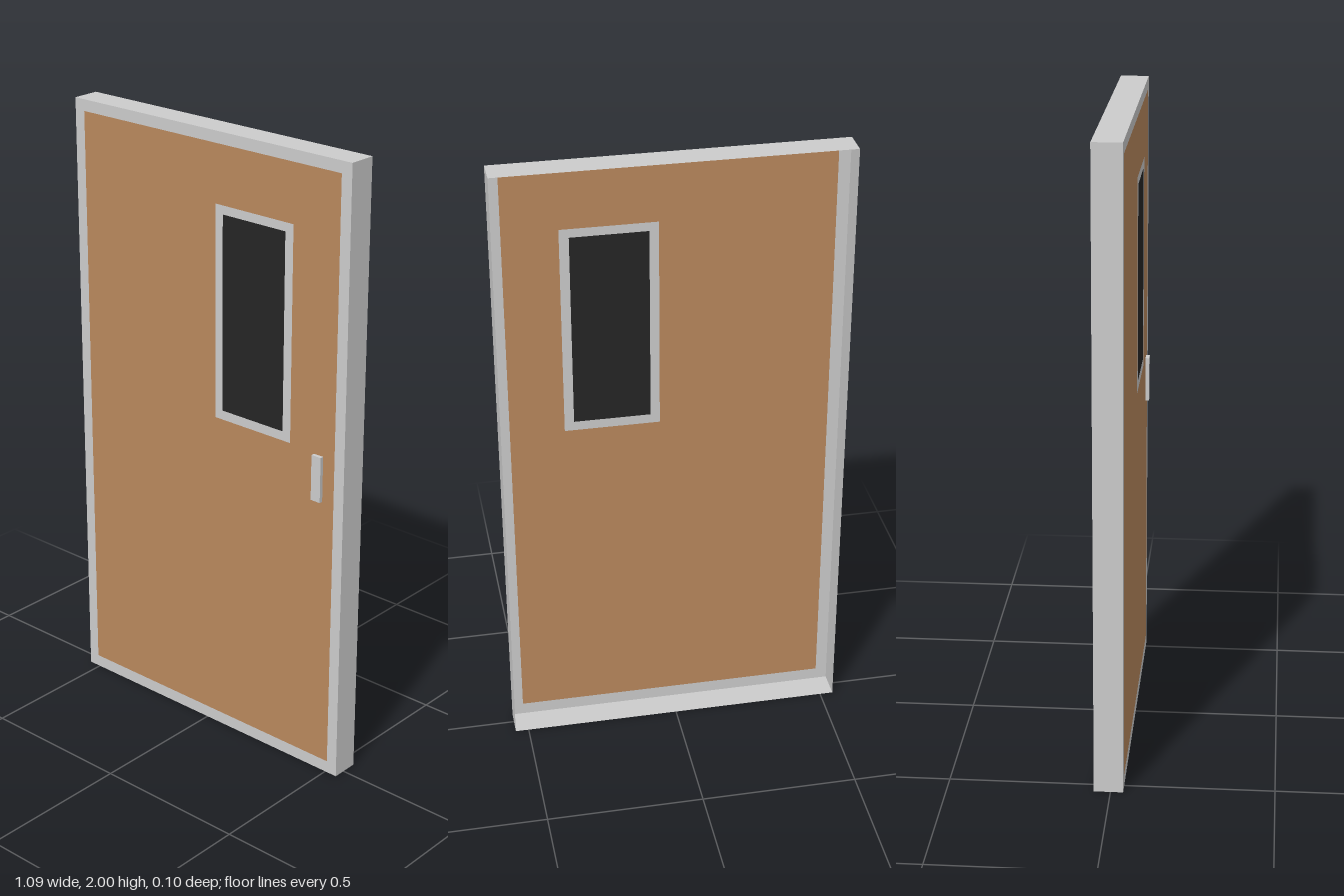
import * as THREE from 'three';

const FRONT = 0.039, BACK = -0.051, HANDLE = 0.051;

const material = (color) => new THREE.MeshStandardMaterial({ color, side: THREE.DoubleSide });

// Rectangles are [left, bottom, right, top]
const corners = ([l, b, r, t]) => [[l, b], [r, b], [r, t], [l, t]].map(([x, y]) => new THREE.Vector2(x, y));

// Flat sheet facing +z, with an optional rectangular opening
function sheet(name, rect, z, mat, opening) {
  const shape = new THREE.Shape(corners(rect));
  if (opening) shape.holes.push(new THREE.Path(corners(opening).reverse()));
  const mesh = new THREE.Mesh(new THREE.ShapeGeometry(shape), mat);
  mesh.position.z = z;
  mesh.name = name;
  return mesh;
}

// Four thin walls running round a rectangle between two depths
function walls(name, [l, b, r, t], z0, z1, mat) {
  const group = new THREE.Group();
  group.name = name;
  const w = r - l, h = t - b, d = z1 - z0;
  const cx = (l + r) / 2, cy = (b + t) / 2, cz = (z0 + z1) / 2;
  for (const s of [-1, 1]) {
    const side = new THREE.Mesh(new THREE.PlaneGeometry(d, h), mat);
    side.rotation.y = s * Math.PI / 2;
    side.position.set(cx + s * w / 2, cy, cz);
    side.name = s > 0 ? 'leftWall' : 'rightWall';
    const level = new THREE.Mesh(new THREE.PlaneGeometry(w, d), mat);
    level.rotation.x = -s * Math.PI / 2;
    level.position.set(cx, cy + s * h / 2, cz);
    level.name = s > 0 ? 'topWall' : 'bottomWall';
    group.add(side, level);
  }
  return group;
}

export function createModel() {
  const model = new THREE.Group();
  model.name = 'door';
  const grey = material(0xcccccc), wood = material(0xb9885d), dark = material(0x252525);

  const outer = [-0.543, 0, 0.543, 2];
  const panel = [-0.506, 0.04, 0.506, 1.963];
  const trim = [0.035, 1.09, 0.335, 1.778];
  const glass = [0.064, 1.12, 0.305, 1.75];
  const grip = [0.428, 0.935, 0.463, 1.083];

  // Shallow frame, open at the back
  const frame = new THREE.Group();
  frame.name = 'frame';
  frame.add(sheet('frameFace', outer, FRONT, grey, panel), walls('frameWalls', outer, BACK, FRONT, grey));

  // Door leaf and its window
  model.add(
    frame,
    sheet('doorPanel', panel, FRONT, wood, trim),
    sheet('windowTrim', trim, FRONT, grey, glass),
    sheet('windowGlass', glass, FRONT, dark)
  );

  // Raised handle
  const handle = new THREE.Group();
  handle.name = 'handle';
  handle.add(sheet('handleFace', grip, HANDLE, grey), walls('handleWalls', grip, FRONT, HANDLE, grey));
  model.add(handle);
  return model;
}
